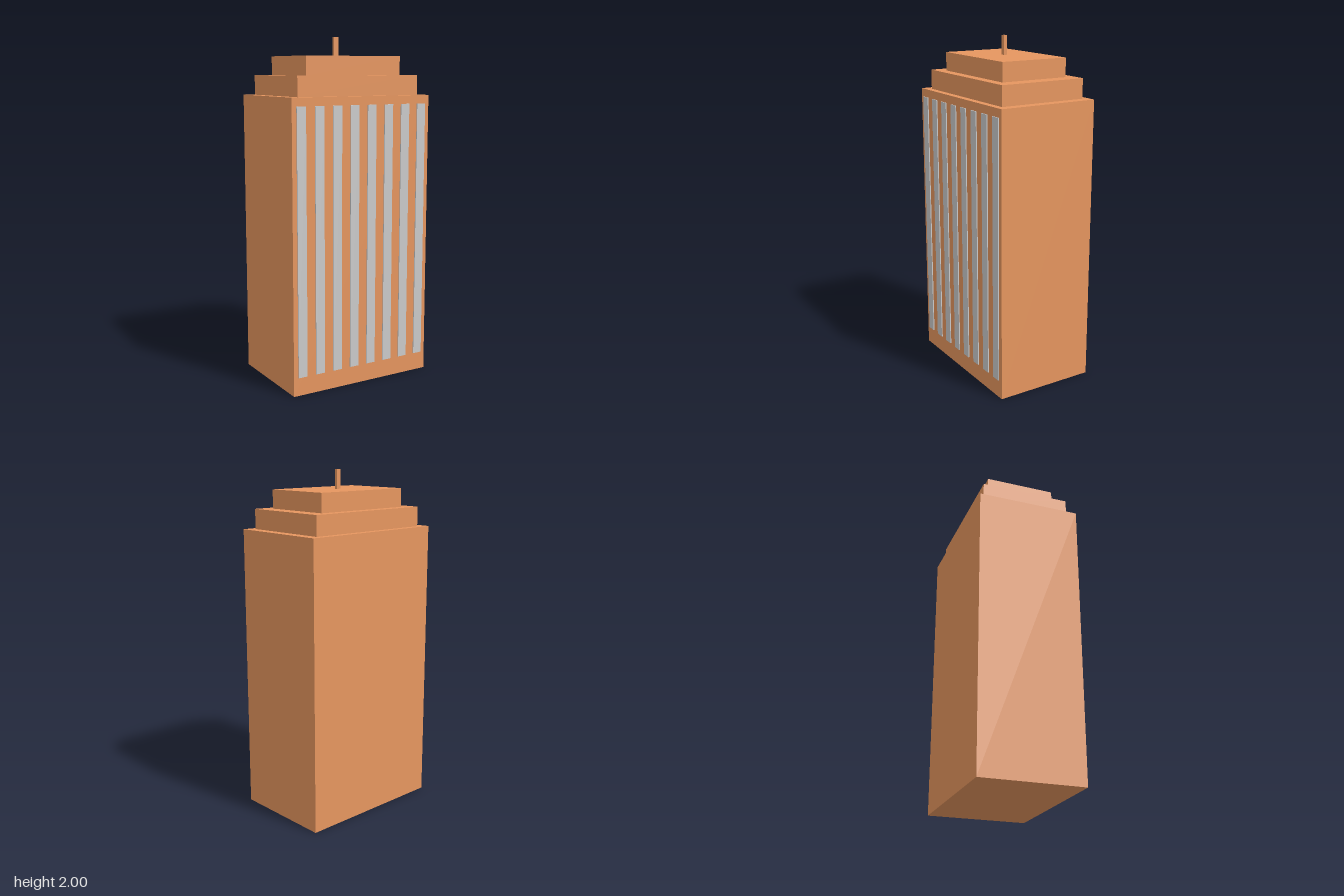
import * as THREE from 'three';

const brick = new THREE.MeshStandardMaterial({ color: 0xe6965f });
const grey = new THREE.MeshStandardMaterial({ color: 0xcccccc });
const Z = -0.0035; // centre of the tower; the window strips project in front of it

// Box standing on height y0
function block(name, w, y0, y1, d, material, x = 0, z = Z) {
  const mesh = new THREE.Mesh(new THREE.BoxGeometry(w, y1 - y0, d), material);
  mesh.name = name;
  mesh.position.set(x, (y0 + y1) / 2, z);
  return mesh;
}

export function createModel() {
  const tower = new THREE.Group();
  tower.name = 'tower';

  // Main body, two setbacks and the mast
  tower.add(
    block('body', 0.904, 0, 1.668, 0.603, brick),
    block('lowerSetback', 0.792, 1.668, 1.782, 0.526, brick),
    block('upperSetback', 0.622, 1.782, 1.89, 0.414, brick),
    block('mast', 0.028, 1.89, 2, 0.018, brick),
  );

  // Eight vertical window strips on the front
  const windows = new THREE.Group();
  windows.name = 'windowStrips';
  for (let i = 0; i < 8; i++) {
    windows.add(block('windowStrip', 0.0565, 0.107, 1.62, 0.011, grey, (i - 3.5) * 0.1132, 0.2985));
  }
  tower.add(windows);

  return tower;
}
